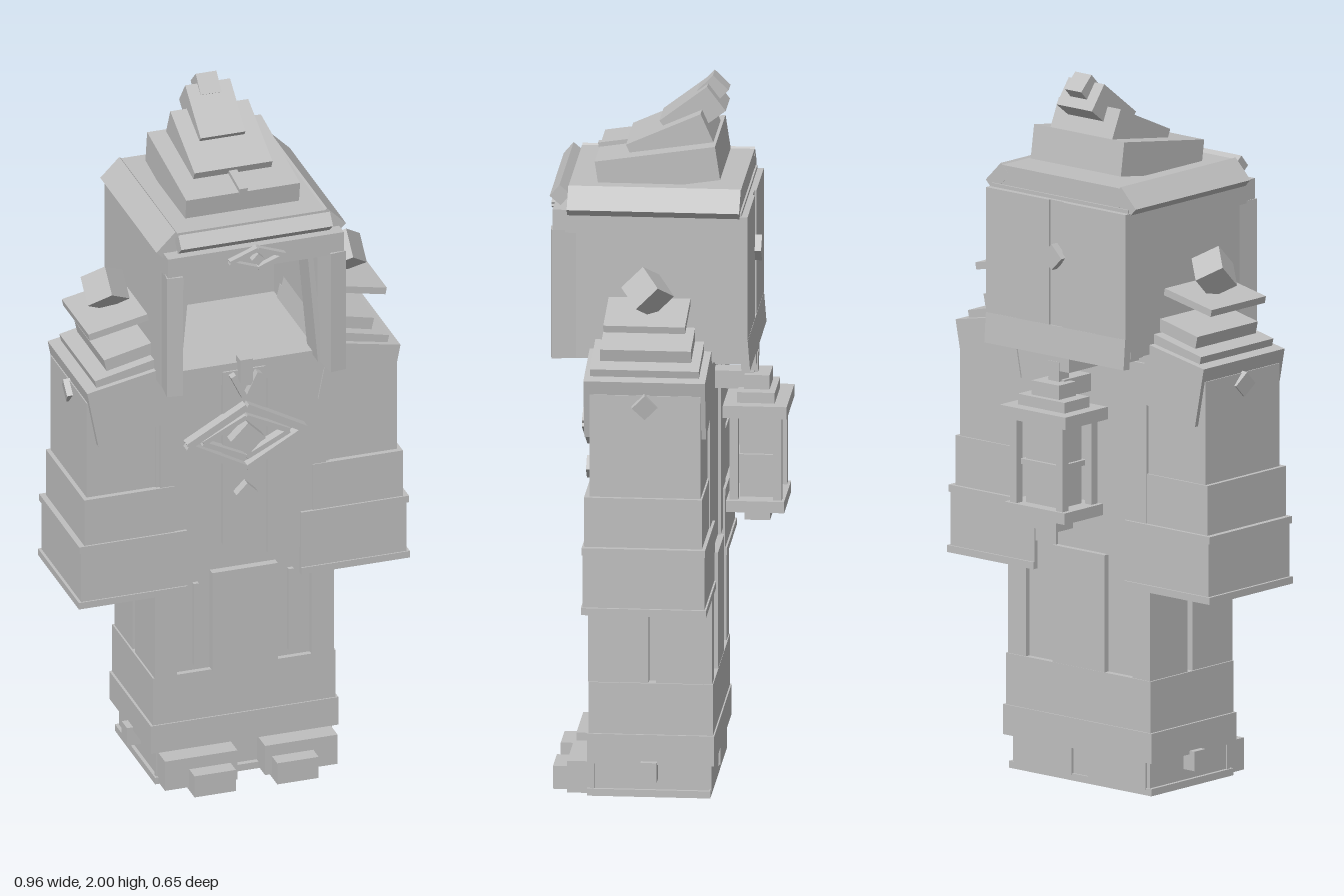
import * as THREE from 'three';

export function createModel() {
  const model = new THREE.Group();
  const stone = new THREE.MeshStandardMaterial({ color: 0xbfbfbf });
  stone.name = 'stone grey';

  // box from its centre and size, with optional rotation
  const box = (name, [x, y, z], [w, h, d], [rx, ry, rz] = [0, 0, 0], parent = model) => {
    const mesh = new THREE.Mesh(new THREE.BoxGeometry(w, h, d), stone);
    mesh.name = name;
    mesh.position.set(x, y, z);
    mesh.rotation.set(rx, ry, rz);
    parent.add(mesh);
    return mesh;
  };
  // box from its limits
  const span = (name, x0, x1, y0, y1, z0, z1, parent = model) =>
    box(name, [(x0 + x1) / 2, (y0 + y1) / 2, (z0 + z1) / 2], [x1 - x0, y1 - y0, z1 - z0], undefined, parent);
  // the same part on both sides
  const pair = (name, [x, y, z], size, [rx, ry, rz] = [0, 0, 0]) => {
    for (const s of [1, -1]) box(name, [s * x, y, z], size, [rx, s * ry, s * rz]);
  };
  const pairSpan = (name, x0, x1, ...r) => {
    span(name, x0, x1, ...r);
    span(name, -x1, -x0, ...r);
  };
  const Q = Math.PI / 4;

  // base and feet
  span('basePlate', -0.26, 0.26, 0.005, 0.025, -0.13, 0.21);
  span('base', -0.25, 0.25, 0.01, 0.115, -0.125, 0.195);
  pairSpan('foot', 0.04, 0.25, 0.01, 0.1, 0.18, 0.265);
  pairSpan('toe', 0.06, 0.18, 0, 0.065, 0.25, 0.31);
  pairSpan('baseKnob', 0.24, 0.29, 0.055, 0.11, 0.015, 0.06);
  pairSpan('baseSideTrim', 0.19, 0.255, 0.02, 0.1, 0.19, 0.202);
  pairSpan('baseBackTrim', 0.03, 0.24, 0.02, 0.1, -0.132, -0.12);

  // robe skirt
  span('lowerSkirt', -0.265, 0.265, 0.115, 0.33, -0.138, 0.205);
  span('hemBand', -0.272, 0.272, 0.1, 0.185, -0.142, 0.209);
  span('skirt', -0.235, 0.235, 0.32, 0.62, -0.12, 0.19);
  pairSpan('skirtFrontPanel', 0.195, 0.26, 0.33, 0.6, 0.04, 0.207);
  pairSpan('skirtBackPanel', 0.195, 0.26, 0.33, 0.6, -0.135, 0.02);
  span('skirtFrontApron', -0.095, 0.095, 0.33, 0.63, 0.18, 0.212);
  span('skirtBackApron', -0.095, 0.095, 0.33, 0.66, -0.137, -0.11);
  pairSpan('skirtTrim', 0.13, 0.145, 0.35, 0.6, 0.18, 0.202);

  // torso
  span('torso', -0.25, 0.25, 0.58, 1.245, -0.12, 0.19);
  span('chestStrip', -0.062, 0.062, 0.71, 1.24, 0.18, 0.205);
  pairSpan('chestPanel', 0.07, 0.24, 0.66, 1.22, 0.18, 0.197);
  pairSpan('backPanel', 0.09, 0.24, 0.66, 1.22, -0.128, -0.11);
  span('collar', -0.25, 0.25, 1.2, 1.262, -0.12, 0.2);

  // sleeves flaring towards the cuffs
  for (const [name, x0, x1, y0, y1, z0, z1] of [
    ['cuff', 0.165, 0.472, 0.585, 0.765, -0.133, 0.203],
    ['cuffHem', 0.165, 0.48, 0.58, 0.6, -0.138, 0.207],
    ['cuffEdge', 0.165, 0.478, 0.75, 0.77, -0.135, 0.205],
    ['forearm', 0.2, 0.462, 0.765, 0.91, -0.125, 0.2],
    ['upperArm', 0.24, 0.45, 0.905, 1.2, -0.12, 0.185],
  ]) pairSpan(name, x0, x1, y0, y1, z0, z1);

  // shoulders
  pair('shoulderGuard', [0.335, 1.175, 0.035], [0.21, 0.17, 0.335], [0, 0, -0.19]);
  pair('shoulderLayer', [0.315, 1.27, 0.037], [0.22, 0.04, 0.3], [0, 0, -0.22]);
  pair('upperShoulderLayer', [0.3, 1.315, 0.037], [0.18, 0.035, 0.25], [0, 0, -0.22]);
  pair('shoulderPlate', [0.345, 1.4, 0.037], [0.175, 0.02, 0.225], [0, 0, -0.2]);
  pair('shoulderCrystal', [0.345, 1.467, 0.035], [0.085, 0.085, 0.085], [Q, 0, Q * 0.9]);
  pair('armGem', [0.447, 1.17, 0.035], [0.03, 0.05, 0.05], [Q, 0, -0.19]);

  // chest emblem: two nested open diamonds around a gem
  for (const [w, h, t, z] of [[0.17, 0.095, 0.02, 0.216], [0.125, 0.062, 0.014, 0.211]]) {
    for (const sx of [1, -1]) for (const sy of [1, -1]) {
      box('emblemBar', [sx * w / 2, 1.04 + sy * h / 2, z],
        [Math.hypot(w, h), t, 0.03], [0, 0, -sx * sy * Math.atan2(h, w)]);
    }
  }
  box('emblemGem', [0, 1.04, 0.22], [0.07, 0.07, 0.035], [0, 0, Q]);
  box('lowerGem', [0, 0.87, 0.215], [0.045, 0.045, 0.035], [0, 0, Q]);
  pair('claspArm', [0.022, 1.2, 0.215], [0.016, 0.075, 0.025], [0, 0, -0.45]);
  span('clasp', -0.018, 0.018, 1.2, 1.28, 0.19, 0.225);

  // hollow hood
  pairSpan('hoodSide', 0.215, 0.255, 1.25, 1.67, -0.21, 0.24);
  span('hoodBack', -0.25, 0.25, 1.24, 1.67, -0.215, -0.17);
  span('hoodFloor', -0.22, 0.22, 1.235, 1.262, -0.2, 0.18);
  pair('hoodPillar', [0.232, 1.43, 0.268], [0.045, 0.365, 0.085], [0, 0.12, 0]);
  pair('hoodInnerFlap', [0.192, 1.43, 0.2], [0.016, 0.36, 0.09], [0, 0, 0.09]);
  span('hoodBrow', -0.255, 0.255, 1.605, 1.67, 0.2, 0.305);
  pairSpan('hoodBackPanel', 0.025, 0.255, 1.3, 1.66, -0.232, -0.2);
  span('hoodBackSeam', -0.03, 0.03, 1.25, 1.66, -0.226, -0.2);
  box('hoodBackBand', [0, 1.265, -0.224], [0.51, 0.085, 0.024], [0.08, 0, 0]);
  box('hoodBackGem', [0, 1.505, -0.235], [0.052, 0.052, 0.03], [0, 0, Q]);

  // brow ornament
  for (const sx of [1, -1]) for (const sy of [1, -1]) {
    box('browBar', [sx * 0.04, 1.637 + sy * 0.015, 0.312], [0.085, 0.012, 0.022], [0, 0, -sx * sy * 0.36]);
  }
  box('browGem', [0, 1.637, 0.312], [0.026, 0.026, 0.026], [0, 0, Q]);

  // roof with bevelled edge boards
  span('roof', -0.215, 0.215, 1.655, 1.725, -0.21, 0.265);
  pair('roofEdge', [0.232, 1.687, 0.027], [0.078, 0.043, 0.475], [0, 0, -Q]);
  box('roofFrontEdge', [0, 1.702, 0.287], [0.44, 0.04, 0.042], [Q * 1.1, 0, 0]);

  // stacked peak leaning backwards: centre y, z, size, tilt
  for (const [name, y, z, w, h, d, tilt] of [
    ['peakBase', 1.762, 0.024, 0.33, 0.095, 0.335, 0.15],
    ['peakMiddle', 1.82, -0.008, 0.226, 0.1, 0.225, 0.42],
    ['peakUpper', 1.893, -0.064, 0.13, 0.085, 0.165, 0.65],
    ['peakTip', 1.957, -0.117, 0.06, 0.06, 0.062, 0.8],
  ]) box(name, [0, y, z], [w, h, d], [tilt, 0, 0]);
  box('peakRidge', [0, 1.794, 0.145], [0.024, 0.02, 0.11], [0.15, 0, 0]);

  // lantern hanging at the back
  const lantern = new THREE.Group();
  lantern.name = 'lantern';
  lantern.position.z = -0.24;
  model.add(lantern);
  const part = (name, w, y0, y1, d) => span(name, -w, w, y0, y1, -d, d, lantern);
  part('lanternFoot', 0.04, 0.74, 0.785, 0.035);
  part('lanternBase', 0.11, 0.78, 0.812, 0.08);
  part('lanternCore', 0.062, 0.8, 1.06, 0.045);
  part('lanternMiddleBand', 0.072, 0.92, 0.935, 0.055);
  part('lanternCap', 0.12, 1.05, 1.085, 0.088);
  part('lanternCapTop', 0.085, 1.08, 1.115, 0.052);
  part('lanternNeck', 0.05, 1.11, 1.155, 0.035);
  for (const sx of [1, -1]) for (const sz of [1, -1]) {
    box('lanternPost', [sx * 0.084, 0.93, sz * 0.06], [0.024, 0.25, 0.024], undefined, lantern);
  }
  span('lanternHook', -0.02, 0.02, 1.15, 1.21, -0.24, -0.2);
  span('lanternBracket', -0.03, 0.03, 1.11, 1.16, -0.23, -0.11);
  span('lanternHanger', -0.055, 0.055, 1.185, 1.235, -0.238, -0.11);

  return model;
}
